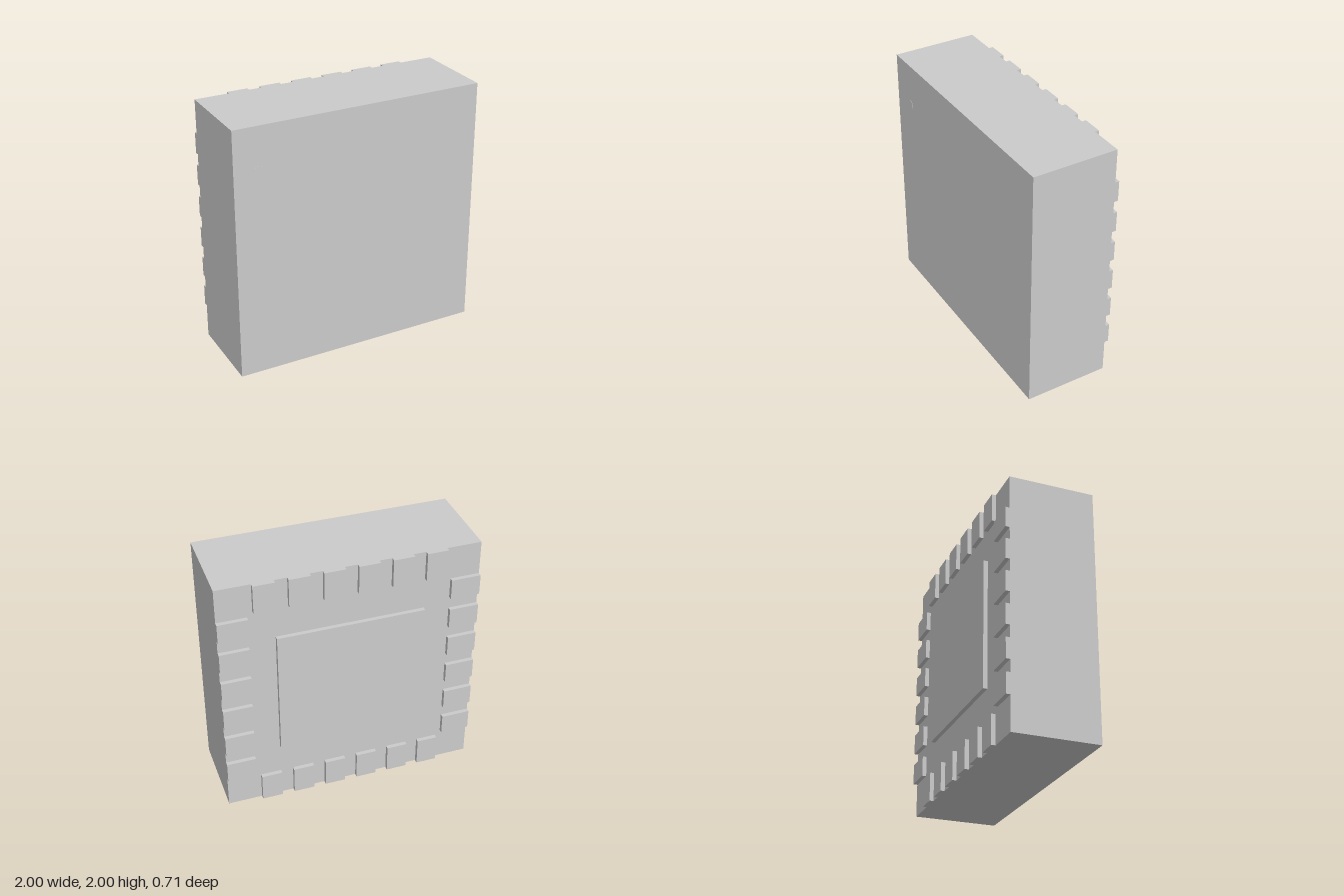
import * as THREE from 'three';

const FRONT = 0.351, BODY_BACK = -0.32, PAD_BACK = -0.353;
const PITCH = 0.26, PAD_WIDTH = 0.163, PAD_LENGTH = 0.228, PADS_PER_SIDE = 6;

export function createModel() {
  const root = new THREE.Group();
  root.name = 'chipPackage';
  const material = new THREE.MeshStandardMaterial({ color: 0xcccccc });

  // Box given by its centre in x and y and its range in z
  function addBox(parent, name, w, h, x, y, zBack, zFront) {
    const mesh = new THREE.Mesh(new THREE.BoxGeometry(w, h, zFront - zBack), material);
    mesh.position.set(x, y, (zBack + zFront) / 2);
    mesh.name = name;
    parent.add(mesh);
  }

  // Moulded body
  addBox(root, 'body', 2, 2, 0, 1, BODY_BACK, FRONT);

  // Large thermal pad in the middle of the back
  addBox(root, 'thermalPad', 1.14, 1.035, 0, 1, PAD_BACK, BODY_BACK);

  // Contact pads: a row of six flush with each edge of the back
  const edge = 1 - PAD_LENGTH / 2;
  for (const [side, sign] of [['left', 1], ['right', -1]]) {
    const row = new THREE.Group();
    row.name = side + 'ContactPads';
    root.add(row);
    for (let i = 0; i < PADS_PER_SIDE; i++) {
      const offset = (i - (PADS_PER_SIDE - 1) / 2) * PITCH;
      addBox(row, 'contactPad', PAD_LENGTH, PAD_WIDTH, sign * edge, 1 + offset, PAD_BACK, BODY_BACK);
    }
  }
  for (const [side, sign] of [['top', 1], ['bottom', -1]]) {
    const row = new THREE.Group();
    row.name = side + 'ContactPads';
    root.add(row);
    for (let i = 0; i < PADS_PER_SIDE; i++) {
      const offset = (i - (PADS_PER_SIDE - 1) / 2) * PITCH;
      addBox(row, 'contactPad', PAD_WIDTH, PAD_LENGTH, offset, 1 + sign * edge, PAD_BACK, BODY_BACK);
    }
  }

  // Thin round dot marking the first pin
  const dot = new THREE.Mesh(new THREE.CylinderGeometry(0.048, 0.048, 0.004, 32), material);
  dot.rotation.x = Math.PI / 2;
  dot.position.set(-0.805, 1.65, FRONT);
  dot.name = 'pinOneDot';
  root.add(dot);

  return root;
}
